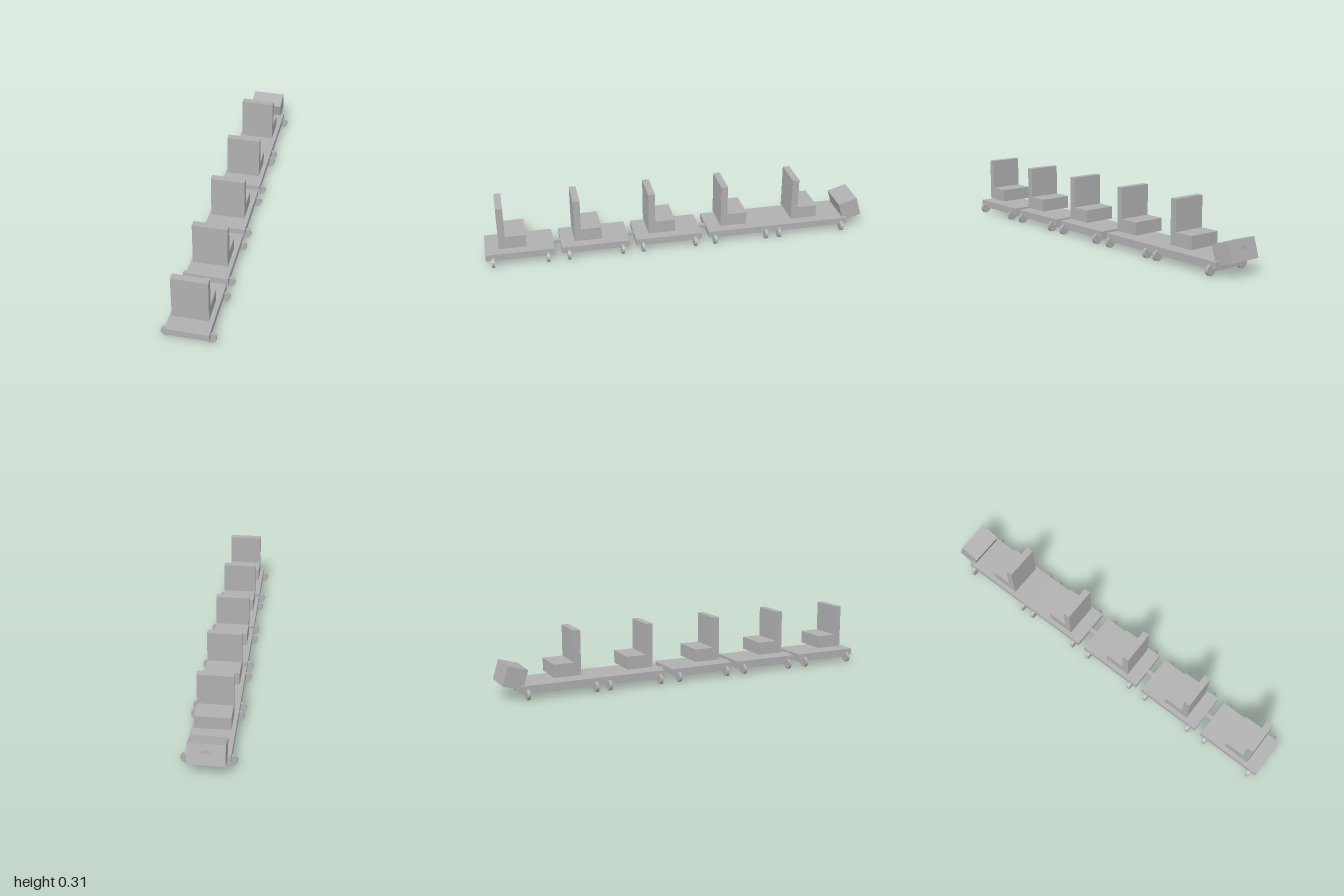
import * as THREE from 'three';

export function createModel() {
  const root = new THREE.Group();
  root.name = 'rideTrain';
  const grey = new THREE.MeshStandardMaterial({ color: 0xb0b0b0 });
  grey.name = 'grey';

  function add(parent, name, geometry, x = 0, y = 0, z = 0) {
    const mesh = new THREE.Mesh(geometry, grey);
    mesh.name = name;
    mesh.position.set(x, y, z);
    parent.add(mesh);
    return mesh;
  }
  // Box given by full width, y range and z range
  function block(parent, name, width, y0, y1, z0, z1) {
    return add(parent, name, new THREE.BoxGeometry(width, y1 - y0, z1 - z0),
      0, (y0 + y1) / 2, (z0 + z1) / 2);
  }

  // L-shaped seat profile, drawn as (-z, y) and extruded across the car
  const profile = new THREE.Shape([
    [0, 0.09], [0.139, 0.09], [0.139, 0.156], [0.035, 0.156], [0.035, 0.315], [0, 0.315],
  ].map(([a, b]) => new THREE.Vector2(a, b)));
  const seatGeometry = new THREE.ExtrudeGeometry(profile, { depth: 0.174, bevelEnabled: false });
  seatGeometry.translate(0, 0, -0.087);
  seatGeometry.rotateY(Math.PI / 2);

  // Discs face along the train
  const wheelGeometry = new THREE.CylinderGeometry(0.026, 0.026, 0.015, 32);
  wheelGeometry.rotateX(Math.PI / 2);

  // Each car: deck ends, wheel positions and seat back position
  const cars = [
    { deck: [0.652, 1.0], wheels: [0.964, 0.687], seat: 0.93 },
    { deck: [0.267, 0.615], wheels: [0.58, 0.303], seat: 0.547 },
    { deck: [-0.117, 0.231], wheels: [0.197, -0.08], seat: 0.163 },
    { deck: [-0.155, -0.503].reverse(), wheels: [-0.187, -0.464], seat: -0.22 },
    { deck: [-0.917, -0.503], wheels: [-0.535, -0.884], seat: -0.605 },
  ];

  cars.forEach(({ deck, wheels, seat }, i) => {
    const car = new THREE.Group();
    car.name = 'car' + (i + 1);
    root.add(car);
    block(car, 'deck', 0.208, 0.036, 0.07, deck[0], deck[1]);
    block(car, 'underPanel', 0.17, 0.024, 0.036, wheels[1] + 0.02, wheels[0] - 0.02);
    for (const side of [-1, 1]) {
      block(car, 'sideRail', 0.012, 0.024, 0.037, wheels[1], wheels[0]).position.x = side * 0.079;
    }
    for (const z of wheels) {
      block(car, 'axle', 0.2, 0.018, 0.037, z - 0.007, z + 0.007);
      for (const side of [-1, 1]) add(car, 'wheel', wheelGeometry, side * 0.105, 0.026, z);
    }
    add(car, 'seat', seatGeometry, 0, 0, seat);
    // Coupling to the next car
    if (i < 3) block(car, 'coupling', 0.022, 0.045, 0.062, deck[0] - 0.05, deck[0] + 0.01);
  });

  // Tilted nose box with its lamp
  const nose = add(root, 'noseBox', new THREE.BoxGeometry(0.174, 0.101, 0.103), 0, 0.109, -0.936);
  nose.rotation.x = 0.29;
  const lampGeometry = new THREE.CylinderGeometry(0.026, 0.026, 0.014, 32);
  lampGeometry.rotateX(Math.PI / 2);
  const lamp = add(root, 'lamp', lampGeometry, 0, 0.121, -0.978);
  lamp.rotation.x = 0.14;

  return root;
}
